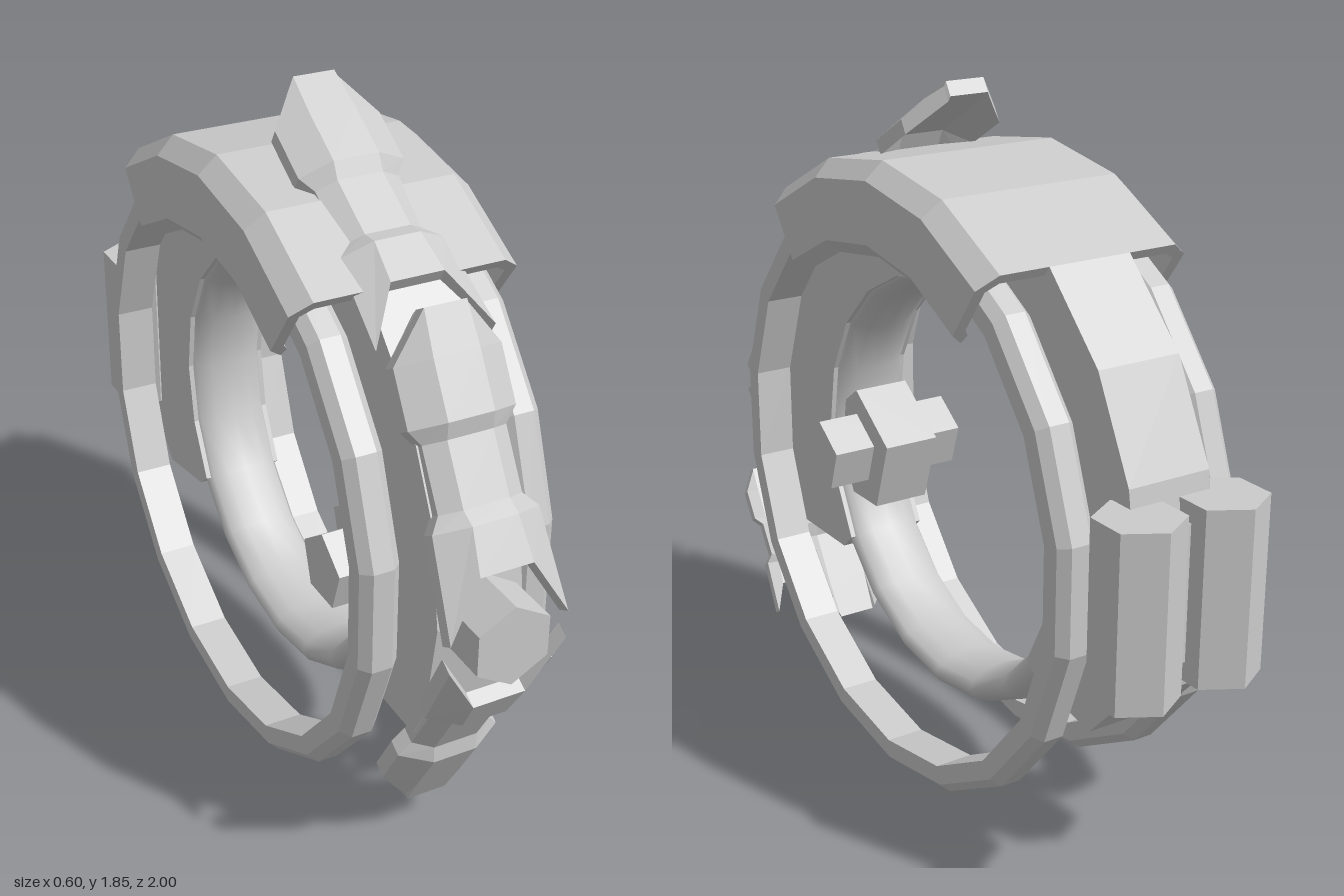
import * as THREE from 'three';
import { mergeGeometries } from 'three/addons/utils/BufferGeometryUtils.js';

const CY = 0.805, CZ = -0.01; // wheel centre
const flat = new THREE.MeshStandardMaterial({ color: 0xcccccc, flatShading: true, side: THREE.DoubleSide });
const smooth = new THREE.MeshStandardMaterial({ color: 0xcccccc });
const rad = THREE.MathUtils.degToRad;

function add(parent, name, geometry, x = 0, y = 0, z = 0, material = flat) {
  const mesh = new THREE.Mesh(geometry, material);
  mesh.name = name;
  mesh.position.set(x, y, z);
  parent.add(mesh);
  return mesh;
}

// Closed [radius, x] profile swept around the wheel axle, with end caps on partial sweeps
function sweep(profile, segments, start = 90, length = 360) {
  const pts = profile.map(([r, x]) => new THREE.Vector2(r, x));
  const parts = [new THREE.LatheGeometry([...pts, pts[0]], segments, rad(start), rad(length))];
  if (length < 360) {
    for (const a of [start, start + length]) {
      parts.push(new THREE.ShapeGeometry(new THREE.Shape(pts)).rotateY(rad(a - 90)));
    }
  }
  return mergeGeometries(parts).rotateZ(Math.PI / 2);
}

// Armour plate: pointed tip, narrow recessed waist and forked end, along local +y, facing +z
function plateGeometry(size) {
  // [centre position, edge position, centre half width, edge half width, centre height, edge height]
  const rows = [
    [0, 0.01, 0.055, 0.06, 0, -0.01],
    [0.15, 0.15, 0.06, 0.14, 0, -0.045],
    [0.34, 0.34, 0.06, 0.14, 0, -0.045],
    [0.39, 0.39, 0.06, 0.11, -0.025, -0.055],
    [0.6, 0.6, 0.06, 0.11, -0.025, -0.055],
    [0.65, 0.65, 0.06, 0.14, 0, -0.045],
    [0.8, 0.98, 0.07, 0.155, 0, -0.05],
  ];
  const L = 0.76, thick = 0.04, pos = [], index = [];
  for (const drop of [0, thick]) {
    for (const [tc, te, c, w, hc, he] of rows) {
      for (const [x, t, h] of [[-w, te, he], [-c, tc, hc], [c, tc, hc], [w, te, he]]) {
        pos.push(x * size, t * L * size, (h - drop) * size);
      }
    }
  }
  const n = rows.length, B = n * 4;
  const quad = (a, b, c, d) => index.push(a, b, c, a, c, d);
  for (let r = 0; r < n - 1; r++) {
    const a = r * 4;
    for (let i = a; i < a + 3; i++) {
      quad(i, i + 1, i + 5, i + 4);
      quad(B + i, B + i + 4, B + i + 5, B + i + 1);
    }
    quad(a, a + 4, B + a + 4, B + a);
    quad(a + 3, B + a + 3, B + a + 7, a + 7);
  }
  for (let i = 0; i < 3; i++) {
    const e = (n - 1) * 4 + i;
    quad(i, B + i, B + i + 1, i + 1);
    quad(e, e + 1, B + e + 1, B + e);
  }
  const g = new THREE.BufferGeometry();
  g.setAttribute('position', new THREE.Float32BufferAttribute(pos, 3));
  g.setIndex(index);
  g.computeVertexNormals();
  return g;
}

// Place a plate with its tip at (z0, y0), running toward (z1, y1); it faces away from the axle
function addPlate(parent, name, x, [z0, y0], [z1, y1], size = 1) {
  const dir = new THREE.Vector3(0, y1 - y0, z1 - z0).normalize();
  const out = new THREE.Vector3(0, dir.z, -dir.y);
  if (out.y * ((y0 + y1) / 2 - CY) + out.z * ((z0 + z1) / 2 - CZ) < 0) out.negate();
  const side = new THREE.Vector3().crossVectors(dir, out);
  const mesh = add(parent, name, plateGeometry(size), x, y0, z0);
  mesh.quaternion.setFromRotationMatrix(new THREE.Matrix4().makeBasis(side, dir, out));
}

export function createModel() {
  const model = new THREE.Group();

  // Rounded inner ring
  const inner = new THREE.TorusGeometry(0.565, 0.05, 12, 20).rotateY(Math.PI / 2).scale(2.2, 1, 1);
  add(model, 'innerRing', inner, 0, CY, CZ, smooth);

  // Thin chamfered rims on both sides
  const rim = [[0.725, -0.052], [0.775, -0.052], [0.8, -0.027], [0.8, 0.027], [0.775, 0.052], [0.725, 0.052]];
  for (const s of [-1, 1]) add(model, s > 0 ? 'leftRim' : 'rightRim', sweep(rim, 18), s * 0.208, CY, CZ);

  // Horseshoe body, drawn in the side plane
  const body = [];
  const arc = (r, a) => body.push(new THREE.Vector2(CZ + r * Math.sin(rad(a)), CY + r * Math.cos(rad(a))));
  for (let a = -108; a <= 108; a += 18) arc(0.875, a);
  body.push(new THREE.Vector2(0.77, 0.44), new THREE.Vector2(0.48, 0.44));
  for (let a = 126; a >= -126; a -= 18) arc(0.55, a);
  body.push(new THREE.Vector2(-0.5, 0.445), new THREE.Vector2(-0.72, 0.405));
  const bodyGeo = new THREE.ExtrudeGeometry(new THREE.Shape(body), { depth: 0.23, bevelEnabled: false });
  add(model, 'body', bodyGeo.rotateY(-Math.PI / 2).translate(0.115, 0, 0));

  // Wide shell over the top
  const half = [[0.875, 0.25], [0.83, 0.3], [0.67, 0.3], [0.635, 0.265], [0.66, 0.255], [0.685, 0.27], [0.82, 0.27], [0.845, 0.24]];
  const shell = [...half, ...half.map(([r, x]) => [r, -x]).reverse()];
  add(model, 'topCover', sweep(shell, 4, 54, 72), 0, CY, CZ);

  // Chain of armour plates down the front, plus a small one on the left rim
  addPlate(model, 'upperPlate', 0, [0.01, 1.85], [0.66, 1.46]);
  addPlate(model, 'middlePlate', 0, [0.655, 1.525], [1.04, 0.87]);
  addPlate(model, 'lowerPlate', 0, [0.655, 0.115], [1.04, 0.77]);
  addPlate(model, 'sidePlate', 0.208, [0.825, 0.585], [0.575, 0.19], 0.58);

  // Front lamp
  const lamp = new THREE.CylinderGeometry(0.108, 0.108, 0.18, 6).rotateX(Math.PI / 2);
  add(model, 'frontLamp', lamp, 0.005, 0.815, 0.91);

  // Twin hexagonal rear canisters and their bracket
  for (const s of [-1, 1]) {
    add(model, s > 0 ? 'leftCanister' : 'rightCanister', new THREE.CylinderGeometry(0.11, 0.11, 0.45, 6), s * 0.12, CY, -0.89);
  }
  add(model, 'canisterBracket', new THREE.BoxGeometry(0.08, 0.35, 0.06), 0, CY, -0.865);

  // Five-sided hub with handles inside the wheel
  const pentagon = (r, w) => new THREE.CylinderGeometry(r, r, w, 5).rotateZ(Math.PI / 2).rotateX(-Math.PI / 2);
  add(model, 'handleHub', pentagon(0.175, 0.16), 0, 0.745, 0.45);
  add(model, 'handleBar', pentagon(0.1, 0.4), 0, 0.75, 0.45);

  return model;
}
